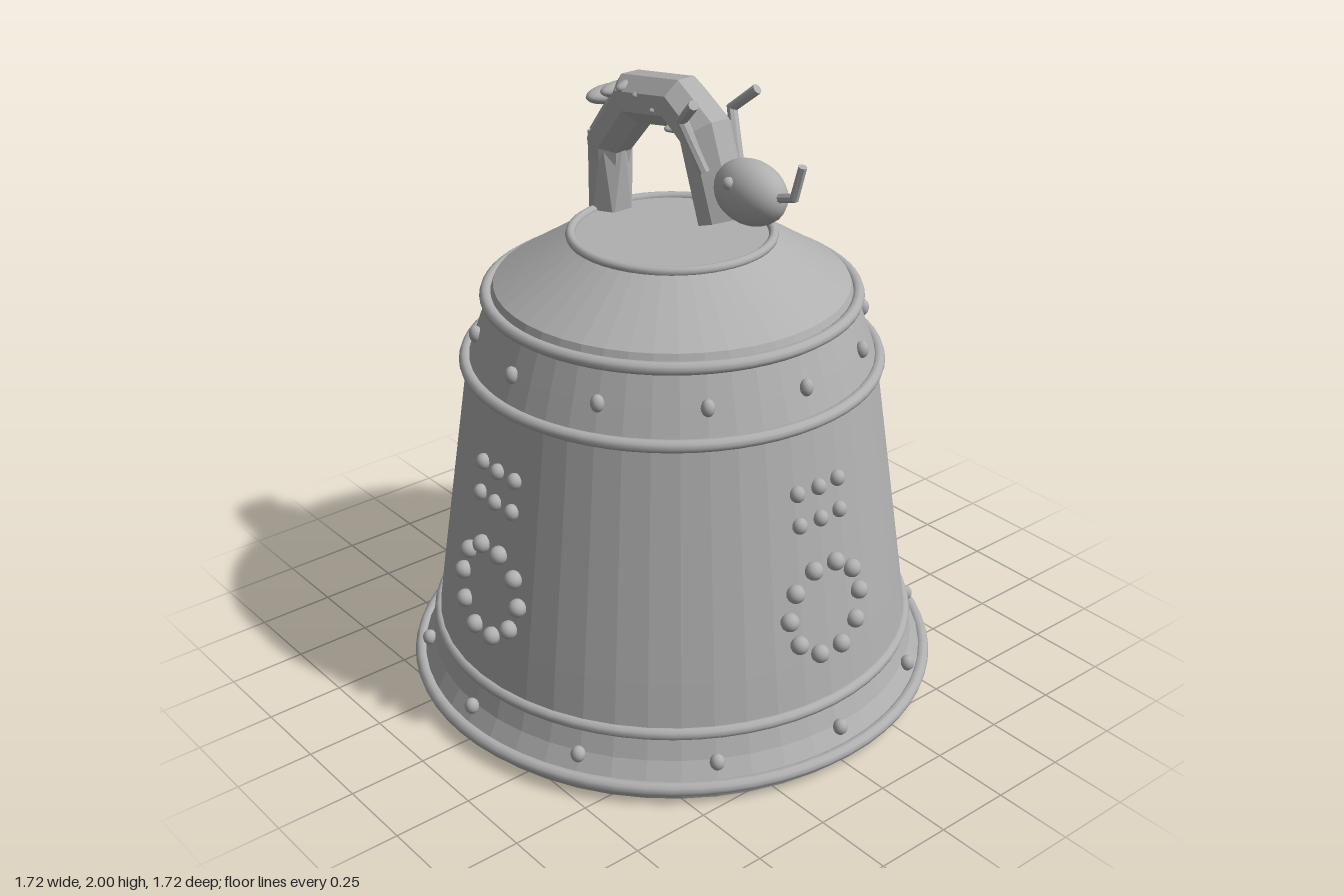
import * as THREE from 'three';

const bronze = new THREE.MeshStandardMaterial({ color: 0xb0b0b0 });
const V = (x, y, z = 0) => new THREE.Vector3(x, y, z);

function flat(geometry) {
  const g = geometry.toNonIndexed();
  g.computeVertexNormals();
  return g;
}

function add(parent, name, geometry, x = 0, y = 0, z = 0) {
  const mesh = new THREE.Mesh(geometry, bronze);
  mesh.name = name;
  mesh.position.set(x, y, z);
  parent.add(mesh);
  return mesh;
}

// Capped faceted tube through points with a radius and twist at each point
function sweep(points, radii, sides, twists = []) {
  const pos = [], index = [];
  points.forEach((p, i) => {
    const before = p.clone().sub(points[Math.max(i - 1, 0)]).normalize();
    const after = points[Math.min(i + 1, points.length - 1)].clone().sub(p).normalize();
    const t = before.add(after).normalize();
    const u = V(0, 0, 1).cross(t).normalize();
    const w = t.clone().cross(u);
    for (let j = 0; j < sides; j++) {
      const a = ((j + 0.5) / sides) * Math.PI * 2 + (twists[i] || 0);
      const q = p.clone().addScaledVector(u, Math.cos(a) * radii[i]).addScaledVector(w, Math.sin(a) * radii[i]);
      pos.push(q.x, q.y, q.z);
    }
  });
  for (let i = 0; i < points.length - 1; i++) {
    for (let j = 0; j < sides; j++) {
      const k = (j + 1) % sides;
      const a = i * sides + j, b = i * sides + k, c = a + sides, d = b + sides;
      index.push(a, b, c, b, d, c);
    }
  }
  const last = (points.length - 1) * sides;
  for (let j = 1; j < sides - 1; j++) {
    index.push(0, j + 1, j, last, last + j, last + j + 1);
  }
  const g = new THREE.BufferGeometry();
  g.setAttribute('position', new THREE.Float32BufferAttribute(pos, 3));
  g.setIndex(index);
  return flat(g);
}

// Outer radius of the bell wall by height
const wall = [
  [0.82, 0], [0.835, 0.05], [0.795, 0.12], [0.77, 0.2], [0.748, 0.36], [0.71, 0.62],
  [0.672, 0.88], [0.64, 1.1], [0.605, 1.2], [0.565, 1.31], [0.55, 1.35], [0.31, 1.5],
];
function wallRadius(y) {
  const i = wall.findIndex((p) => p[1] >= y);
  const [r0, y0] = wall[i - 1], [r1, y1] = wall[i];
  return r0 + ((r1 - r0) * (y - y0)) / (y1 - y0);
}

function createBell(group) {
  // Hollow shell: inside surface downward, then outside surface upward
  const inner = [[0, 1.45], [0.29, 1.45], [0.5, 1.31], [0.59, 1.09], [0.66, 0.62], [0.715, 0.22], [0.765, 0]];
  const profile = [...inner, ...wall, [0, 1.5]].map(([r, y]) => new THREE.Vector2(r, y));
  add(group, 'bellShell', flat(new THREE.LatheGeometry(profile, 48)));

  // Raised bands
  const bands = [[0.838, 0.05, 0.022], [0.768, 0.2, 0.02], [0.645, 1.105, 0.02], [0.573, 1.315, 0.02], [0.31, 1.5, 0.015]];
  for (const [r, y, tube] of bands) {
    const ring = add(group, 'raisedBand', new THREE.TorusGeometry(r, tube, 10, 64), 0, y, 0);
    ring.rotation.x = Math.PI / 2;
  }

  const stud = new THREE.SphereGeometry(1, 14, 10);
  const addStud = (name, angle, y, r, size, tall = 1) => {
    add(group, name, stud, Math.sin(angle) * r, y, Math.cos(angle) * r)
      .scale.set(size, size * tall, size);
  };

  // Rivet rows around the lip and the shoulder
  for (let i = 0; i < 12; i++) {
    const a = (i * Math.PI) / 6;
    addStud('lipRivet', a, 0.12, 0.81, 0.023, 1.15);
    addStud('shoulderRivet', a, 1.205, 0.61, 0.021, 1.3);
  }

  // Four panels, each with a bead circle below two short rows
  for (let side = 0; side < 4; side++) {
    const centre = (side * Math.PI) / 2;
    for (let i = 0; i < 10; i++) {
      const a = (i * Math.PI) / 5;
      const y = 0.515 + Math.sin(a) * 0.143;
      const r = wallRadius(y) + 0.01;
      addStud('circleBead', centre + Math.asin((Math.cos(a) * 0.143) / r), y, r, 0.029);
    }
    for (const y of [0.805, 0.905]) {
      for (const x of [-0.08, 0, 0.08]) {
        const r = wallRadius(y) + 0.006;
        addStud('rowBead', centre + Math.asin(x / r), y, r, 0.024, 1.08);
      }
    }
  }
}

function createHandle(group) {
  // Arched body with a twisted foot
  add(group, 'handleFoot', sweep([V(-0.305, 1.47), V(-0.3, 1.75)], [0.073, 0.07], 6, [0, 0.5]));
  add(group, 'handleArch', sweep(
    [V(-0.305, 1.6), V(-0.3, 1.72), V(-0.16, 1.89), V(0.05, 1.925), V(0.155, 1.86), V(0.245, 1.615)],
    [0.06, 0.076, 0.084, 0.082, 0.084, 0.084], 8));

  // Wide ridges crossing the back
  const ball = new THREE.SphereGeometry(1, 20, 14);
  const ridges = [
    [-0.3, 1.865, 0.044, 0.029], [-0.23, 1.9, 0.036, 0.025], [-0.155, 1.93, 0.03, 0.025],
    [-0.08, 1.927, 0.027, 0.02], [0, 1.9, 0.024, 0.018], [0.07, 1.862, 0.027, 0.02],
  ];
  for (const [x, y, rx, ry] of ridges) {
    add(group, 'backRidge', ball, x, y, 0).scale.set(rx, ry, 0.086);
  }

  // Head with snout horn, eyes and a pair of bent antlers
  add(group, 'head', ball, 0.352, 1.73, 0).scale.set(0.132, 0.096, 0.085);
  add(group, 'snoutHorn', sweep([V(0.45, 1.74), V(0.535, 1.765), V(0.565, 1.865)], [0.015, 0.015, 0.013], 8));
  for (const s of [1, -1]) {
    const name = s > 0 ? 'left' : 'right';
    add(group, name + 'Eye', ball, 0.34, 1.77, s * 0.073).scale.setScalar(0.019);
    add(group, name + 'Antler', sweep(
      [V(0.225, 1.77, s * 0.065), V(0.16, 1.915, s * 0.095), V(0.24, 1.985, s * 0.12)],
      [0.018, 0.018, 0.016], 8));
  }
}

export function createModel() {
  const model = new THREE.Group();
  model.name = 'bell';
  const bell = new THREE.Group();
  bell.name = 'bellBody';
  createBell(bell);
  const handle = new THREE.Group();
  handle.name = 'creatureHandle';
  createHandle(handle);
  model.add(bell, handle);
  return model;
}
